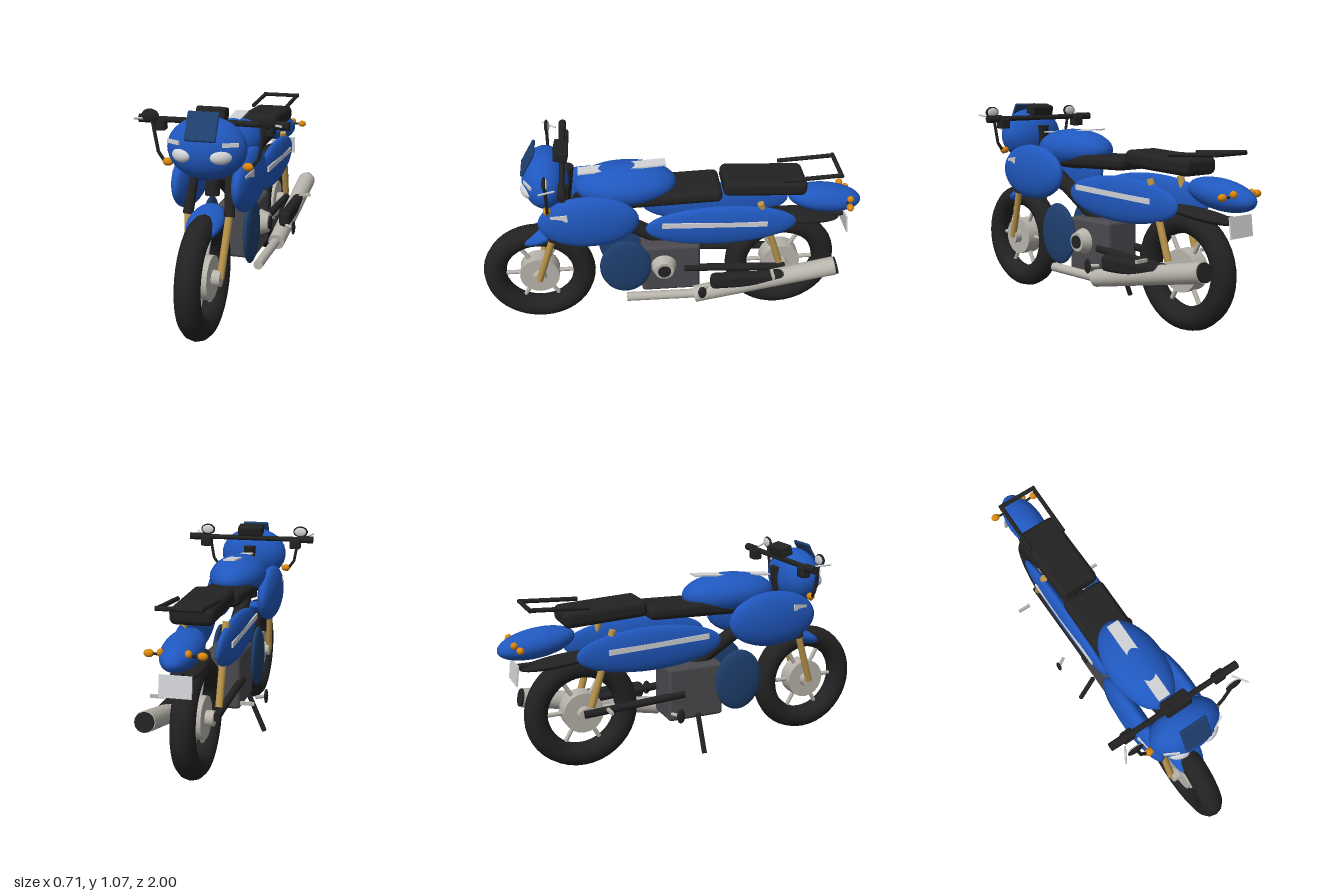
import * as THREE from 'three';
import { RoundedBoxGeometry } from 'three/addons/geometries/RoundedBoxGeometry.js';

const material = (name, color) => Object.assign(new THREE.MeshStandardMaterial({ color }), { name });

export function createModel() {
  const blue = material('body blue', 0x2058bf);
  const navy = material('dark blue', 0x1e3f6e);
  const black = material('black', 0x222222);
  const grey = material('engine grey', 0x4a4a4f);
  const gold = material('fork gold', 0xb8934a);
  const silver = material('warm silver', 0xb8b4ac);
  const white = material('pale silver', 0xd0d2d6);
  const amber = material('amber', 0xd8860f);

  const model = new THREE.Group();
  model.name = 'motorcycle';

  const add = (name, geometry, mat, position = [0, 0, 0], rotation = [0, 0, 0], parent = model) => {
    const mesh = new THREE.Mesh(geometry, mat);
    mesh.name = name;
    mesh.position.set(...position);
    mesh.rotation.set(...rotation);
    parent.add(mesh);
    return mesh;
  };
  const ball = (name, mat, position, radii, rotation) =>
    add(name, new THREE.SphereGeometry(1, 32, 20).scale(...radii), mat, position, rotation);
  const box = (name, mat, position, size, rotation) =>
    add(name, new THREE.BoxGeometry(...size), mat, position, rotation);
  const softBox = (name, mat, position, size, radius, rotation) =>
    add(name, new RoundedBoxGeometry(...size, 3, radius), mat, position, rotation);
  // Round bar from a to b, optionally tapered
  const rod = (name, mat, a, b, r, rEnd = r, parent = model) => {
    const start = new THREE.Vector3(...a), end = new THREE.Vector3(...b);
    const dir = end.clone().sub(start);
    const mesh = add(name, new THREE.CylinderGeometry(rEnd, r, dir.length(), 20), mat,
      start.clone().add(end).multiplyScalar(0.5).toArray(), [0, 0, 0], parent);
    mesh.quaternion.setFromUnitVectors(new THREE.Vector3(0, 1, 0), dir.normalize());
    return mesh;
  };

  // Wheels
  for (const [name, z] of [['frontWheel', 0.706], ['rearWheel', -0.588]]) {
    const wheel = new THREE.Group();
    wheel.name = name;
    wheel.position.set(0, 0.3, z);
    model.add(wheel);
    add('tyre', new THREE.TorusGeometry(0.237, 0.06, 12, 40), black, [0, 0, 0], [0, Math.PI / 2, 0], wheel);
    rod('hub', silver, [-0.045, 0, 0], [0.045, 0, 0], 0.105, 0.105, wheel);
    rod('axle', silver, [-0.085, 0, 0], [0.085, 0, 0], 0.038, 0.038, wheel);
    for (let i = 0; i < 6; i++) {
      const a = i * Math.PI / 3;
      rod('spoke', silver, [0, 0, 0], [0, 0.2 * Math.sin(a), 0.2 * Math.cos(a)], 0.011, 0.011, wheel);
    }
  }

  // Fenders
  ball('frontFender', blue, [0, 0.553, 0.67], [0.085, 0.042, 0.14], [0.33, 0, 0]);
  ball('rearFender', black, [0, 0.578, -0.68], [0.075, 0.026, 0.215], [-0.1, 0, 0]);

  // Engine, frame and steering head
  softBox('engine', grey, [0, 0.34, 0.01], [0.2, 0.29, 0.31], 0.02);
  rod('engineCover', silver, [0.08, 0.365, 0.05], [0.15, 0.365, 0.05], 0.075, 0.05);
  rod('coverCap', black, [0.14, 0.365, 0.05], [0.158, 0.365, 0.05], 0.034);
  rod('downTube', black, [0, 0.75, 0.5], [0, 0.46, 0.03], 0.04);
  rod('steeringStem', black, [0, 0.65, 0.56], [0, 0.95, 0.52], 0.034);
  rod('forkBridge', black, [-0.1, 0.737, 0.56], [0.1, 0.737, 0.56], 0.015);

  // Bodywork on the centre line
  ball('tank', blue, [0, 0.835, 0.235], [0.145, 0.106, 0.258]);
  box('tankStripe', white, [0, 0.93, 0.25], [0.064, 0.008, 0.44], [0.07, 0, 0]);
  ball('tail', blue, [0, 0.685, -0.803], [0.09, 0.073, 0.195], [-0.13, 0, 0]);
  ball('frontFairing', blue, [0, 0.893, 0.63], [0.186, 0.146, 0.118]);
  softBox('windscreen', navy, [0, 1.006, 0.707], [0.146, 0.14, 0.016], 0.007, [-0.52, 0, 0]);
  softBox('instruments', black, [0, 1.037, 0.545], [0.14, 0.055, 0.07], 0.01, [-0.25, 0, 0]);
  softBox('riderSeat', black, [0, 0.784, 0], [0.235, 0.07, 0.5], 0.03, [0.03, 0, 0]);
  softBox('passengerSeat', black, [0, 0.812, -0.47], [0.212, 0.085, 0.43], 0.03, [-0.05, 0, 0]);
  box('rearPlate', white, [0, 0.55, -0.92], [0.15, 0.1, 0.008], [0.12, 0, 0]);
  rod('plateBracket', black, [0, 0.575, -0.8], [0, 0.575, -0.918], 0.015);
  rod('grabRailBack', black, [-0.107, 0.874, -0.85], [0.107, 0.874, -0.85], 0.011);

  // Handlebar
  rod('handlebar', black, [-0.35, 0.993, 0.54], [0.35, 0.993, 0.54], 0.014);

  // Mirrored parts
  for (const s of [-1, 1]) {
    // Fork legs, shocks and swingarm
    rod('forkLower', gold, [s * 0.08, 0.3, 0.706], [s * 0.1, 0.6, 0.61], 0.018);
    rod('forkUpper', black, [s * 0.1, 0.57, 0.62], [s * 0.085, 0.8, 0.545], 0.025);
    rod('shock', gold, [s * 0.1, 0.35, -0.565], [s * 0.105, 0.735, -0.445], 0.018);
    rod('swingarm', black, [s * 0.095, 0.34, -0.06], [s * 0.095, 0.31, -0.6], 0.02);

    // Side bodywork and its stripes
    ball('sideFairing', blue, [s * 0.143, 0.705, 0.428], [0.056, 0.147, 0.252]);
    box('fairingStripe', white, [s * 0.181, 0.757, 0.57], [0.008, 0.035, 0.085], [0.15, s * -0.2, 0]);
    ball('sidePanel', blue, [s * 0.11, 0.617, -0.247], [0.037, 0.115, 0.39]);
    box('panelStripe', white, [s * 0.143, 0.642, -0.21], [0.008, 0.027, 0.54], [-0.04, 0, 0]);
    ball('lowerCowl', navy, [s * 0.107, 0.38, 0.25], [0.028, 0.165, 0.135]);

    // Headlights and turn signals
    ball('headlight', white, [s * 0.092, 0.875, 0.722], [0.05, 0.032, 0.025], [0, s * 0.4, 0]);
    box('headlightStripe', white, [s * 0.132, 0.931, 0.711], [0.075, 0.018, 0.008], [0, s * 0.5, 0]);
    ball('frontSignal', amber, [s * 0.19, 0.815, 0.625], [0.026, 0.019, 0.019]);
    ball('rearSignal', amber, [s * 0.12, 0.69, -0.91], [0.023, 0.018, 0.018]);
    rod('signalStalk', black, [s * 0.05, 0.685, -0.905], [s * 0.11, 0.69, -0.91], 0.006);
    ball('tailLamp', amber, [s * 0.062, 0.7, -0.925], [0.016, 0.018, 0.018]);

    // Grips, switches, levers and mirrors
    rod('grip', black, [s * 0.27, 0.993, 0.54], [s * 0.357, 0.993, 0.54], 0.02);
    softBox('switchBox', black, [s * 0.258, 0.968, 0.535], [0.06, 0.055, 0.05], 0.008);
    rod('lever', white, [s * 0.3, 1.0, 0.575], [s * 0.342, 1.012, 0.645], 0.005);
    rod('mirrorStemUpper', black, [s * 0.265, 1.01, 0.62], [s * 0.238, 0.857, 0.62], 0.008);
    rod('mirrorStemLower', black, [s * 0.238, 0.857, 0.62], [s * 0.195, 0.8, 0.625], 0.008);
    ball('mirror', black, [s * 0.273, 1.025, 0.62], [0.042, 0.031, 0.012]);
    ball('mirrorGlass', white, [s * 0.273, 1.025, 0.612], [0.034, 0.024, 0.008]);

    // Grab rail and pegs
    rod('grabRailSide', black, [s * 0.097, 0.858, -0.56], [s * 0.097, 0.874, -0.85], 0.011);
    box('passengerPeg', silver, [s * 0.223, 0.36, -0.51], [0.068, 0.016, 0.014]);
    rod('riderPeg', silver, [s * 0.19, 0.28, -0.17], [s * 0.238, 0.28, -0.14], 0.009);
    ball('pegEnd', black, [s * 0.238, 0.28, -0.14], [0.01, 0.038, 0.022]);
  }

  // Exhaust
  rod('exhaustPipe', silver, [0.14, 0.2, 0.25], [0.145, 0.2, -0.12], 0.024);
  rod('muffler', silver, [0.15, 0.2, -0.11], [0.167, 0.352, -0.85], 0.045, 0.05);
  rod('mufflerCap', black, [0.167, 0.35, -0.845], [0.167, 0.354, -0.862], 0.046);
  softBox('heatShield', black, [0.172, 0.3, -0.39], [0.06, 0.085, 0.4], 0.025);

  // Side stand
  rod('sideStand', black, [-0.115, 0.23, 0.01], [-0.2, 0.035, 0.01], 0.013);

  return model;
}
